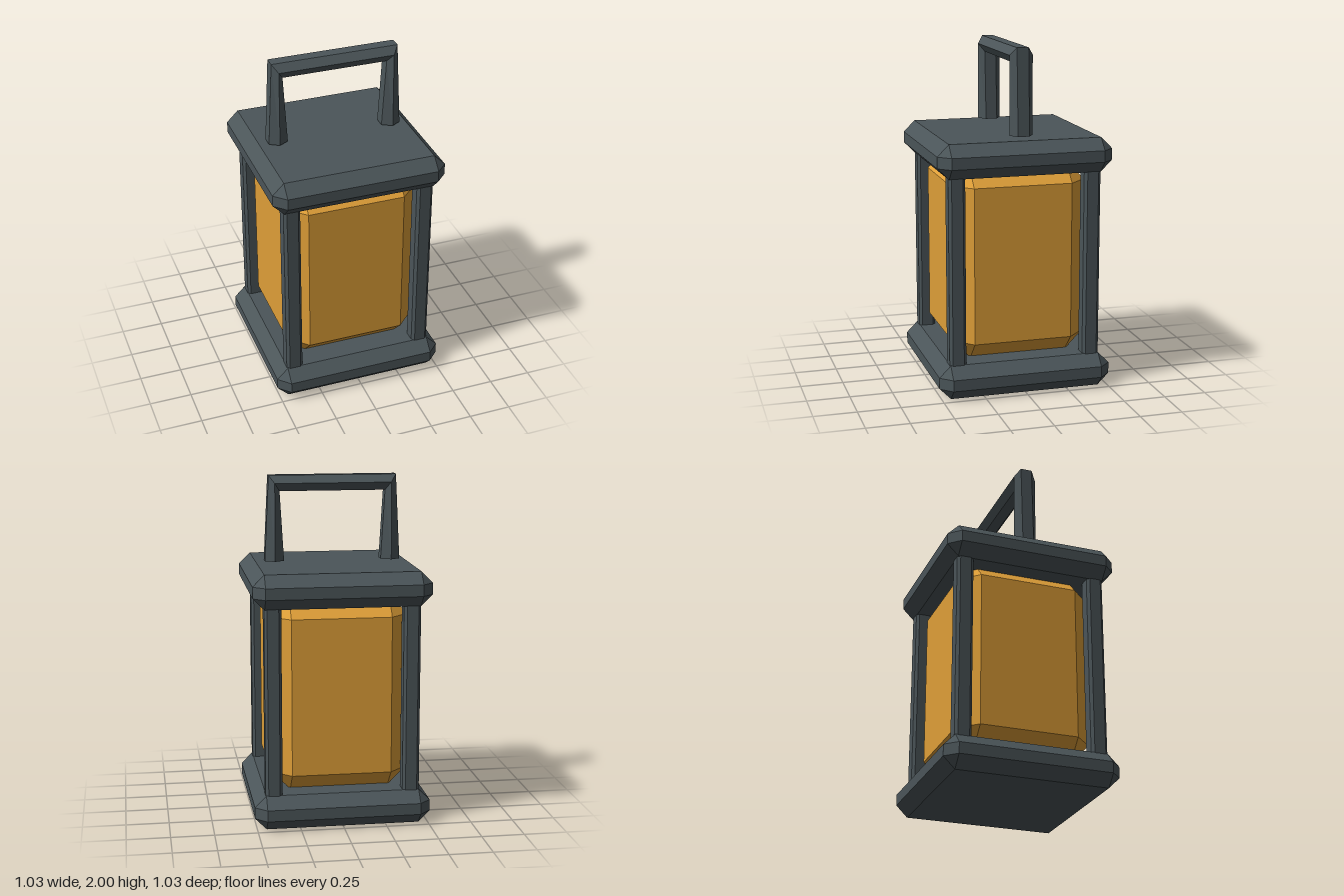
import * as THREE from 'three';
import { ConvexGeometry } from 'three/addons/geometries/ConvexGeometry.js';

// Box with flat 45 degree chamfers on every edge; w, h, d are half sizes
function chamferBox(w, h, d, b) {
  const points = [];
  for (const x of [-1, 1]) for (const y of [-1, 1]) for (const z of [-1, 1]) {
    points.push(
      new THREE.Vector3(x * w, y * (h - b), z * (d - b)),
      new THREE.Vector3(x * (w - b), y * h, z * (d - b)),
      new THREE.Vector3(x * (w - b), y * (h - b), z * d));
  }
  return new ConvexGeometry(points);
}

// Hexagonal bar swept up one leg, across and down the other
function handleGeometry() {
  // each section: outer, middle and inner points in x, y
  const left = [
    [[-0.4, 1.5], [-0.345, 1.5], [-0.287, 1.5]],
    [[-0.375, 2], [-0.342, 1.955], [-0.311, 1.908]],
  ];
  const mirrored = left.map(s => s.map(([x, y]) => [-x, y])).reverse();
  const a = 0.034, b = 0.068;
  const rings = [...left, ...mirrored].map(([o, m, i]) =>
    [[...o, a], [...m, b], [...i, a], [...i, -a], [...m, -b], [...o, -a]]);
  const pos = [];
  const tri = (...pts) => pts.forEach(p => pos.push(...p));
  for (let s = 0; s < rings.length - 1; s++) {
    for (let i = 0; i < 6; i++) {
      const j = (i + 1) % 6, r = rings[s], n = rings[s + 1];
      tri(r[i], r[j], n[i]);
      tri(r[j], n[j], n[i]);
    }
  }
  // end caps
  const first = rings[0], last = rings[rings.length - 1];
  for (let i = 1; i < 5; i++) {
    tri(first[0], first[i + 1], first[i]);
    tri(last[0], last[i], last[i + 1]);
  }
  const g = new THREE.BufferGeometry();
  g.setAttribute('position', new THREE.Float32BufferAttribute(pos, 3));
  g.computeVertexNormals();
  return g;
}

export function createModel() {
  const group = new THREE.Group();
  const metal = new THREE.MeshStandardMaterial({ color: 0x4b5559 });
  metal.name = 'dark metal';
  const amber = new THREE.MeshStandardMaterial({ color: 0xdf9f38 });
  amber.name = 'amber glass';

  const add = (name, geometry, material, x = 0, y = 0, z = 0) => {
    const mesh = new THREE.Mesh(geometry, material);
    mesh.name = name;
    mesh.position.set(x, y, z);
    group.add(mesh);
  };

  // Base and roof slabs
  const slab = chamferBox(0.513, 0.1, 0.513, 0.067);
  add('base', slab, metal, 0, 0.1, 0);
  add('roof', slab, metal, 0, 1.385, 0);

  // Corner posts, with ends sunk into the slabs
  const post = chamferBox(0.049, 0.565, 0.049, 0.016);
  for (const [x, xName] of [[0.4, 'Left'], [-0.4, 'Right']]) {
    for (const [z, zName] of [[0.4, 'front'], [-0.4, 'back']]) {
      add(`${zName}${xName}Post`, post, metal, x, 0.7425, z);
    }
  }

  // Glowing glass body
  add('glass', chamferBox(0.4, 0.57, 0.4, 0.11), amber, 0, 0.757, 0);

  // Carrying handle
  add('handle', handleGeometry(), metal);
  return group;
}
